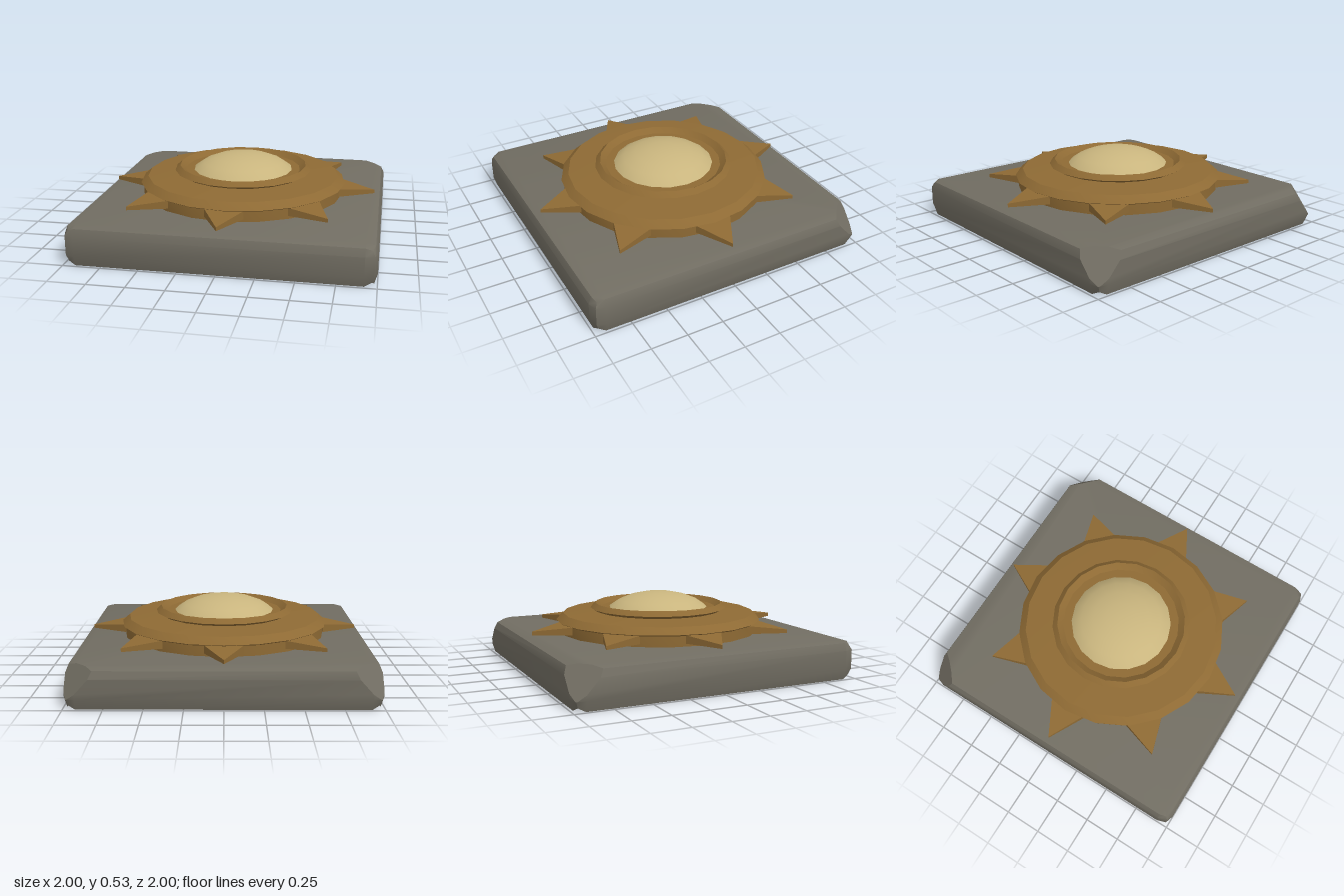
import * as THREE from 'three';
import { toCreasedNormals } from 'three/addons/utils/BufferGeometryUtils.js';

const stone = new THREE.MeshStandardMaterial({ color: 0x716d62, side: THREE.DoubleSide });
stone.name = 'stone';
const bronze = new THREE.MeshStandardMaterial({ color: 0x8e6a34 });
bronze.name = 'bronze';
const paleGold = new THREE.MeshStandardMaterial({ color: 0xc9b57e });
paleGold.name = 'paleGold';

function mesh(name, geometry, material) {
  const m = new THREE.Mesh(geometry, material);
  m.name = name;
  return m;
}

// Cut a list of triangles by a plane and close the convex hole with a flat cap
function chip(triangles, plane) {
  const out = [], rim = [];
  for (const tri of triangles) {
    const poly = [];
    tri.forEach((a, i) => {
      const b = tri[(i + 1) % 3];
      const da = plane.distanceToPoint(a), db = plane.distanceToPoint(b);
      if (da <= 0) poly.push(a);
      if (da * db < 0) {
        const p = a.clone().lerp(b, da / (da - db));
        poly.push(p);
        rim.push(p);
      }
    });
    for (let i = 2; i < poly.length; i++) out.push([poly[0], poly[i - 1], poly[i]]);
  }
  const centre = rim.reduce((s, p) => s.add(p), new THREE.Vector3()).divideScalar(rim.length);
  const u = new THREE.Vector3(0, 1, 0).cross(plane.normal).normalize();
  const v = plane.normal.clone().cross(u);
  const angle = (p) => {
    const d = p.clone().sub(centre);
    return Math.atan2(d.dot(v), d.dot(u));
  };
  rim.sort((a, b) => angle(a) - angle(b));
  rim.forEach((p, i) => {
    const q = rim[(i + 1) % rim.length];
    if (p.distanceTo(q) > 1e-4) out.push([centre, p, q]);
  });
  return out;
}

// Slab with pillowed faces, open underneath, both back corners chipped
function slabGeometry() {
  const box = new THREE.BoxGeometry(2, 2, 2, 3, 3, 3);
  const pos = box.attributes.position;
  const side = [0, 1, 0.98, 0.965], top = [0, 0.265, 0.25, 0.232], bottom = [0, 0, 0.002, 0.025];
  const points = [];
  for (let i = 0; i < pos.count; i++) {
    const c = [pos.getX(i), pos.getY(i), pos.getZ(i)];
    const n = c.filter((t) => Math.abs(t) > 0.9).length;
    const flat = (t) => Math.sign(t) * (Math.abs(t) > 0.9 ? side[n] : 0.92);
    const y = c[1] > 0.9 ? top[n] : c[1] < -0.9 ? bottom[n] : c[1] > 0 ? 0.2 : 0.07;
    points.push(new THREE.Vector3(flat(c[0]), y, flat(c[2])));
  }
  let triangles = [];
  box.groups.forEach((g, face) => {
    if (face === 3) return;
    for (let i = g.start; i < g.start + g.count; i += 3) {
      triangles.push([0, 1, 2].map((k) => points[box.index.getX(i + k)]));
    }
  });
  for (const s of [-1, 1]) {
    const normal = new THREE.Vector3(s, 0.9, -1);
    const length = normal.length();
    triangles = chip(triangles, new THREE.Plane(normal.divideScalar(length), -2.015 / length));
  }
  return toCreasedNormals(new THREE.BufferGeometry().setFromPoints(triangles.flat()), 0.55);
}

// Twenty-sided turned part from [radius, height] pairs, bottom to top
function turned(profile) {
  const lathe = new THREE.LatheGeometry(profile.map(([r, y]) => new THREE.Vector2(r, y)), 20);
  return toCreasedNormals(lathe, 0.5);
}

// Triangular ray pointing along +z, its top sloping down to the tip
function rayGeometry() {
  const shape = new THREE.Shape([
    new THREE.Vector2(-0.13, -0.7), new THREE.Vector2(0, -0.945), new THREE.Vector2(0.13, -0.7),
  ]);
  const g = new THREE.ExtrudeGeometry(shape, { depth: 0.055, bevelEnabled: false });
  g.rotateX(-Math.PI / 2).translate(0, 0.285, 0);
  const pos = g.attributes.position;
  for (let i = 0; i < pos.count; i++) {
    if (pos.getZ(i) > 0.9 && pos.getY(i) > 0.3) pos.setY(i, 0.31);
  }
  g.computeVertexNormals();
  return g;
}

export function createModel() {
  const model = new THREE.Group();
  model.name = 'sunPlate';
  model.add(mesh('stoneSlab', slabGeometry(), stone));

  // Broad disc with a bevelled rim
  model.add(mesh('sunDisc', turned([
    [0, 0.262], [0.715, 0.262], [0.715, 0.335], [0.733, 0.345], [0.682, 0.39], [0.4, 0.408], [0, 0.408],
  ]), bronze));

  // Raised collar holding the dome
  model.add(mesh('collar', turned([
    [0.44, 0.4], [0.488, 0.425], [0.452, 0.458], [0.41, 0.425], [0.33, 0.425],
  ]), bronze));

  // Eight rays around the disc
  const rays = new THREE.Group();
  rays.name = 'rays';
  const ray = rayGeometry();
  for (let i = 0; i < 8; i++) {
    const m = mesh('ray', ray, bronze);
    m.rotation.y = (i * Math.PI) / 4;
    rays.add(m);
  }
  model.add(rays);

  // Shallow smooth dome
  const dome = new THREE.SphereGeometry(1, 18, 6, 0, Math.PI * 2, 0, Math.PI / 2);
  dome.scale(0.4, 0.205, 0.4).translate(0, 0.33, 0);
  model.add(mesh('dome', dome, paleGold));
  return model;
}
